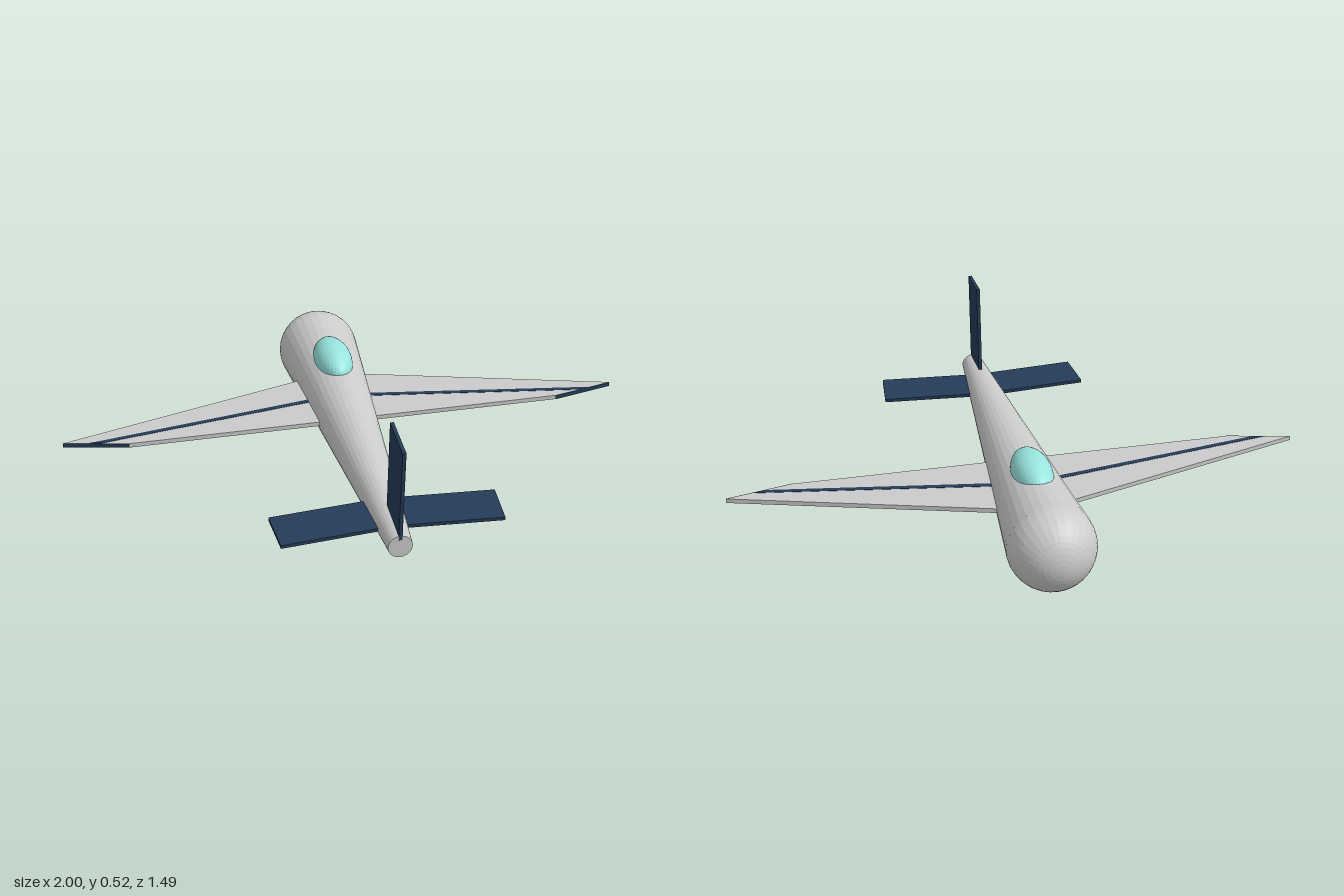
import * as THREE from 'three';

const AXIS_Y = 0.151;   // height of the fuselage centreline
const NOSE_R = 0.148;
const SWEEP = 0.08;     // lean of the tail surfaces, radians

const material = (color) => new THREE.MeshStandardMaterial({ color, flatShading: true });
const grey = material(0xcccccc);
const navy = material(0x243c58);
const aqua = material(0x98e4de);

function addMesh(parent, name, geometry, mat, x = 0, y = AXIS_Y, z = 0) {
  const mesh = new THREE.Mesh(geometry, mat);
  mesh.name = name;
  mesh.position.set(x, y, z);
  parent.add(mesh);
  return mesh;
}

// Flat plate from an outline of [x, z] points, centred on its own height
function plate(points, thickness) {
  const shape = new THREE.Shape(points.map(([x, z]) => new THREE.Vector2(x, z)));
  const geometry = new THREE.ExtrudeGeometry(shape, { depth: thickness, bevelEnabled: false });
  return geometry.rotateX(Math.PI / 2).translate(0, thickness / 2, 0);
}

export function createModel() {
  const model = new THREE.Group();
  model.name = 'airplane';

  // Tapered fuselage with a round nose
  const body = new THREE.CylinderGeometry(0.04, NOSE_R, 1.316, 32).rotateX(Math.PI / 2);
  addMesh(model, 'fuselage', body, grey, 0, AXIS_Y, 0.062);
  const nose = new THREE.SphereGeometry(NOSE_R, 32, 24).rotateX(Math.PI / 2);
  addMesh(model, 'nose', nose, grey, 0, AXIS_Y, -0.597);

  // Canopy
  const canopy = new THREE.SphereGeometry(1, 32, 20).scale(0.068, 0.065, 0.135);
  addMesh(model, 'canopy', canopy, aqua, 0, 0.258, -0.317);

  for (const s of [1, -1]) {
    const side = s > 0 ? 'left' : 'right';
    const outline = (points) => points.map(([x, z]) => [s * x, z]);

    // Wing with a painted stripe and a dark tip edge
    const wing = new THREE.Group();
    wing.name = side + 'Wing';
    model.add(wing);
    addMesh(wing, side + 'WingPanel',
      plate(outline([[0, -0.395], [1, -0.104], [0.775, -0.054], [0, -0.054]]), 0.016), grey);
    addMesh(wing, side + 'WingStripe',
      plate(outline([[0, -0.234], [0.91, -0.086], [0.87, -0.076], [0, -0.214]]), 0.018), navy);
    addMesh(wing, side + 'WingTipEdge',
      plate(outline([[0.775, -0.055], [0.998, -0.1045], [1, -0.103], [0.775, -0.053]]), 0.016), navy);

    // Tailplane, swept slightly back
    const tail = addMesh(model, side + 'Tailplane',
      new THREE.BoxGeometry(0.374, 0.012, 0.16), navy, s * 0.186, AXIS_Y, 0.549);
    tail.rotation.y = -s * SWEEP;
  }

  // Upright fin, leaning back
  const fin = addMesh(model, 'fin',
    new THREE.BoxGeometry(0.012, 0.37, 0.163), navy, 0, 0.335, 0.651);
  fin.rotation.x = SWEEP;

  return model;
}
